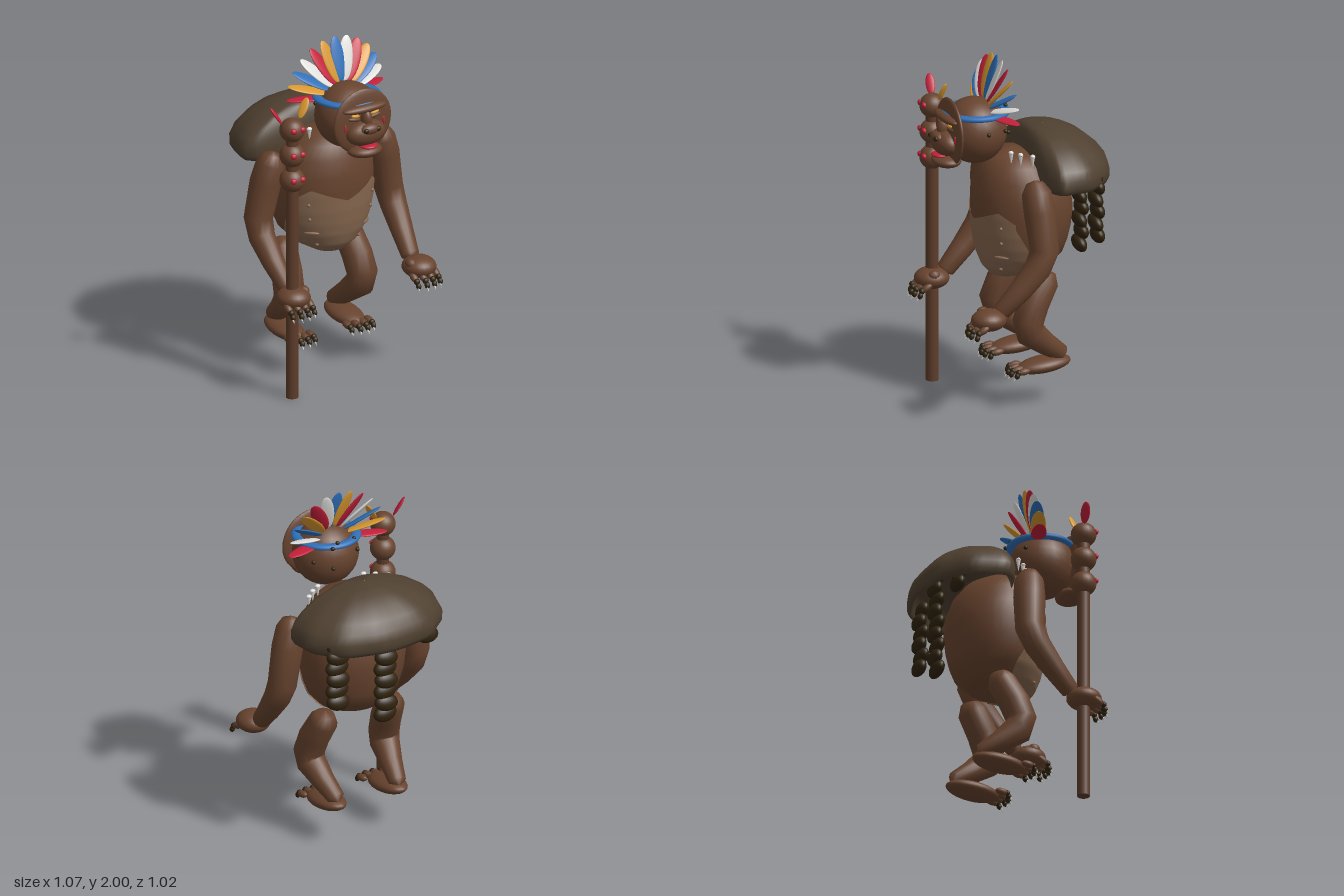
import * as THREE from 'three';

const mat = (name, color) => Object.assign(new THREE.MeshStandardMaterial({ color }), { name });
const { clamp, lerp } = THREE.MathUtils;

export function createModel() {
  const root = new THREE.Group();
  root.name = 'shamanApe';
  const ape = new THREE.Group();
  ape.name = 'ape';
  ape.position.x = 0.01;
  root.add(ape);
  const M = {
    fur: mat('brown fur', 0x67432e), belly: mat('light belly', 0x86674f), shell: mat('grey brown cape', 0x4f4030),
    dark: mat('dark claw', 0x30230e), wood: mat('staff wood', 0x5d3c2a), red: mat('red', 0xc41f3a),
    blue: mat('blue', 0x2f70b8), gold: mat('gold', 0xd9982f), white: mat('white', 0xe0dfdb),
  };
  M.belly.side = THREE.DoubleSide;

  const sphere = new THREE.SphereGeometry(1, 24, 16);
  const smallSphere = new THREE.SphereGeometry(1, 12, 8);
  const add = (name, geo, m, pos = [0, 0, 0], parent = ape) => {
    const mesh = new THREE.Mesh(geo, m);
    mesh.name = name;
    mesh.position.set(...pos);
    parent.add(mesh);
    return mesh;
  };
  const ball = (name, m, pos, scale, rot = [0, 0, 0], parent = ape) => {
    const mesh = add(name, Math.max(...scale) > 0.05 ? sphere : smallSphere, m, pos, parent);
    mesh.scale.set(...scale);
    mesh.rotation.set(...rot);
    return mesh;
  };

  // Skin a list of closed rings (counter-clockwise around the direction of travel)
  function loft(rings) {
    const n = rings[0].length, pos = [], idx = [];
    rings.forEach(r => r.forEach(p => pos.push(p.x, p.y, p.z)));
    for (let i = 0; i < rings.length - 1; i++) for (let j = 0; j < n; j++) {
      const a = i * n + j, b = i * n + (j + 1) % n;
      idx.push(a, b, b + n, a, b + n, a + n);
    }
    const g = new THREE.BufferGeometry();
    g.setAttribute('position', new THREE.Float32BufferAttribute(pos, 3));
    g.setIndex(idx);
    g.computeVertexNormals();
    return g;
  }

  // Limb through rows of [x, y, z, radius]
  function limb(rows, n = 16) {
    const pts = rows.map(r => new THREE.Vector3(r[0], r[1], r[2]));
    return loft(rows.map((r, i) => {
      const t = pts[Math.min(i + 1, pts.length - 1)].clone().sub(pts[Math.max(i - 1, 0)]).normalize();
      const u = new THREE.Vector3(1, 0, 0).cross(t).normalize();
      const v = t.clone().cross(u);
      return Array.from({ length: n }, (_, j) => {
        const a = j / n * Math.PI * 2;
        return pts[i].clone().addScaledVector(u, r[3] * Math.cos(a)).addScaledVector(v, r[3] * Math.sin(a));
      });
    }));
  }

  // Torso: rows of y, half width, front z, back z
  const torso = [
    [0.715, 0.002, 0.07, 0.066], [0.73, 0.09, 0.14, -0.05], [0.78, 0.185, 0.185, -0.19], [0.85, 0.25, 0.212, -0.265],
    [0.92, 0.28, 0.227, -0.29], [1.0, 0.3, 0.238, -0.308], [1.1, 0.31, 0.245, -0.32], [1.2, 0.303, 0.245, -0.31],
    [1.3, 0.278, 0.228, -0.275], [1.38, 0.22, 0.195, -0.21], [1.43, 0.14, 0.15, -0.12], [1.455, 0.002, 0.04, 0.036],
  ];
  function torsoPoint(y, a, off = 0) {
    let i = 0;
    while (i < torso.length - 2 && torso[i + 1][0] < y) i++;
    const k = (y - torso[i][0]) / (torso[i + 1][0] - torso[i][0]);
    const [hw, f, b] = [1, 2, 3].map(c => lerp(torso[i][c], torso[i + 1][c], k));
    return new THREE.Vector3((hw + off) * Math.sin(a), y, (f + b) / 2 + ((f - b) / 2 + off) * Math.cos(a));
  }
  add('torso', loft(torso.map(r => Array.from({ length: 40 }, (_, j) => torsoPoint(r[0], j / 40 * Math.PI * 2)))), M.fur);

  // Light belly patch with a heart-shaped upper edge, lying just over the torso
  const patch = new THREE.PlaneGeometry(1, 1, 40, 30);
  const pp = patch.attributes.position;
  for (let i = 0; i < pp.count; i++) {
    const s = pp.getX(i) * 2, t = pp.getY(i) + 0.5, a = Math.abs(s) * 1.05;
    const top = a < 0.7 ? 1.06 + 0.08 * a / 0.7 : 1.14 - 0.06 * (a - 0.7) / 0.35;
    const y = lerp(0.717, top, t);
    const spread = 1.05 + 0.55 * clamp((1.05 - y) / 0.25, 0, 1) + 0.8 * clamp((0.78 - y) / 0.06, 0, 1);
    const p = torsoPoint(y, s * spread, 0.006);
    pp.setXYZ(i, p.x, p.y - 0.004 * (1 - t), p.z);
  }
  patch.computeVertexNormals();
  add('bellyPatch', patch, M.belly);

  // Head and face
  ball('head', M.fur, [0, 1.58, 0.245], [0.19, 0.188, 0.182]);
  ball('faceDisc', M.fur, [0, 1.588, 0.392], [0.192, 0.19, 0.03]);
  ball('brow', M.fur, [0, 1.672, 0.415], [0.145, 0.026, 0.042]);
  ball('noseBridge', M.fur, [0, 1.61, 0.428], [0.032, 0.06, 0.042]);
  ball('muzzle', M.fur, [0, 1.53, 0.425], [0.125, 0.075, 0.07]);
  ball('nose', M.fur, [0, 1.565, 0.47], [0.062, 0.032, 0.035]);
  ball('lips', M.red, [0, 1.46, 0.45], [0.052, 0.014, 0.052]);
  ball('jaw', M.fur, [0, 1.422, 0.415], [0.105, 0.038, 0.082]);

  // Headband
  const band = new THREE.TorusGeometry(0.168, 0.03, 10, 48).rotateX(Math.PI / 2);
  add('headband', band, M.blue, [0, 1.688, 0.237]).scale.set(1, 0.55, 0.97);

  // Crown of feathers, leaning back and cupped towards the middle
  const cycle = [M.red, M.gold, M.blue, M.white];
  for (let i = 0; i < 13; i++) {
    const a = (i - 6) * Math.PI / 12, g = new THREE.Group();
    g.name = 'crownFeather';
    g.position.set(0, 1.68, 0.21);
    g.rotation.set(-0.31, -a, -a, 'ZXY');
    ball('feather', cycle[i % 4], [0, 0.208, 0], [0.043, 0.128, 0.01], [0, 0, 0], g);
    ape.add(g);
  }

  // Dark beads on the back of the head
  [[0.03, 1.71, 0.07], [0.07, 1.69, 0.055], [0.19, 1.6, 0.235], [0.155, 1.6, 0.12], [0.06, 1.56, 0.065],
    [-0.12, 1.62, 0.1], [-0.09, 1.7, 0.09]].forEach(p => ball('headBead', M.dark, p, [0.012, 0.012, 0.012]));

  // Hollow domed cape: inner surface first, round the rim, then the outer surface
  const cape = [[1.525, 0.01], [1.515, 0.3], [1.47, 0.6], [1.4, 0.82], [1.33, 0.9], [1.29, 0.92], [1.272, 0.955],
    [1.3, 0.995], [1.35, 1], [1.4, 0.945], [1.45, 0.835], [1.5, 0.67], [1.54, 0.46], [1.562, 0.25], [1.57, 0.01]];
  add('cape', loft(cape.map(([y, s]) => Array.from({ length: 56 }, (_, j) => {
    const a = j / 56 * Math.PI * 2, c = Math.cos(a), f = s < 0.1 ? s : Math.pow(s, 0.4);
    const wave = 1 + 0.012 * Math.sin(a * 11 + y * 9);
    return new THREE.Vector3(0.452 * s * wave * Math.sign(Math.sin(a)) * Math.abs(Math.sin(a)) ** 0.85, y,
      -0.165 + (c > 0 ? 0.135 * f * c ** 0.6 : 0.345 * s * wave * c));
  }))), M.shell);

  // Strands of dark beads hanging below the cape: x, z, top, count
  [[0.3, -0.36, 1.33, 6], [0, -0.385, 1.4, 9], [-0.28, -0.36, 1.32, 2]].forEach(([x, z, top, n]) => {
    for (let i = 0; i < n; i++)
      ball('strandBead', M.dark, [x, top - i * 0.07, z - 0.012 * (i % 2)], [0.073, 0.05, 0.036], [0.3, 0, i % 2 ? 0.12 : -0.12]);
  });

  const tooth = new THREE.ConeGeometry(0.014, 0.07, 8).rotateX(Math.PI);
  const claw = new THREE.ConeGeometry(0.009, 0.032, 8).rotateX(Math.PI);

  // Row of toes or fingers: brown knuckle, two dark joints, white tip
  function digits(name, x, y, z, drop) {
    for (let i = 0; i < 4; i++) {
      const dx = x + (i - 1.5) * 0.048, dz = z - (i === 0 || i === 3 ? 0.015 : 0);
      ball(name, M.fur, [dx, y, dz], [0.022, 0.02, 0.04], [drop, 0, 0]);
      ball(name + 'Joint', M.dark, [dx, y - 0.03 * drop, dz + 0.032], [0.018, 0.018, 0.016]);
      ball(name + 'Nail', M.dark, [dx + 0.004, y - 0.012 - 0.05 * drop, dz + 0.042], [0.015, 0.02, 0.015], [-0.4, 0, 0]);
      add(name + 'Tip', claw, M.white, [dx, y - 0.03 - 0.05 * drop, dz + 0.055]).rotation.x = -0.6;
    }
  }

  for (const s of [-1, 1]) {
    // Paired face details
    ball('eye', M.gold, [s * 0.064, 1.637, 0.42], [0.029, 0.011, 0.012], [0, 0, s * 0.15]);
    ball('eyelid', M.fur, [s * 0.066, 1.616, 0.414], [0.045, 0.014, 0.016], [0, 0, s * 0.15]);
    ball('nostril', M.dark, [s * 0.04, 1.566, 0.494], [0.016, 0.014, 0.012]);
    ball('cheekMark', M.red, [s * 0.128, 1.572, 0.414], [0.007, 0.024, 0.007]);

    // Belly studs
    [[1.05, 0.01], [0.96, 0.01], [0.87, 0.045], [0.79, 0.012]].forEach(([y, w]) => {
      const p = torsoPoint(y, s * 0.75, 0.006);
      ball('bellyStud', M.belly, [p.x, y, p.z], [w, 0.011, 0.012], [0, s * 0.75, 0]);
    });

    // Tooth necklace
    [[0.26, 0.0], [0.205, 0.05], [0.15, 0.085]].forEach(([x, z]) => {
      add('necklaceTooth', tooth, M.white, [s * x, 1.43, z]);
      ball('necklaceKnob', M.white, [s * x, 1.467, z], [0.017, 0.011, 0.014]);
    });

    // Arm and hand
    add('arm', limb([
      [s * 0.355, 1.36, 0.03, 0.002], [s * 0.36, 1.345, 0.028, 0.05], [s * 0.367, 1.29, 0.022, 0.083],
      [s * 0.395, 1.18, 0.012, 0.09], [s * 0.435, 0.97, 0.0, 0.083], [s * 0.44, 0.87, 0.045, 0.076],
      [s * 0.43, 0.75, 0.145, 0.064], [s * 0.415, 0.64, 0.25, 0.052], [s * 0.415, 0.62, 0.27, 0.002]]), M.fur);
    ball('hand', M.fur, [s * 0.42, 0.6, 0.33], [0.097, 0.062, 0.1]);
    ball('thumb', M.fur, [s * 0.357, 0.63, 0.34], [0.03, 0.03, 0.036]);
    digits('finger', s * 0.42, 0.567, 0.402, 0.6);

    // Leg and foot
    add('leg', limb([
      [s * 0.215, 0.78, -0.1, 0.002], [s * 0.215, 0.768, -0.098, 0.055], [s * 0.218, 0.72, -0.085, 0.083],
      [s * 0.235, 0.6, -0.015, 0.088], [s * 0.245, 0.5, 0.022, 0.088], [s * 0.24, 0.43, 0.005, 0.084],
      [s * 0.22, 0.35, -0.095, 0.064], [s * 0.2, 0.28, -0.192, 0.05], [s * 0.2, 0.255, -0.215, 0.002]]), M.fur);
    ball('foot', M.fur, [s * 0.2, 0.228, -0.09], [0.088, 0.046, 0.16], [0.1, 0, 0]);
    digits('toe', s * 0.195, 0.218, 0.07, 0.15);
  }

  // Staff with three stacked heads and two feathers
  const staff = new THREE.Group();
  staff.name = 'staff';
  staff.position.set(-0.415, 0, 0.325);
  root.add(staff);
  add('staffPole', new THREE.CylinderGeometry(0.036, 0.036, 1.56, 16), M.wood, [0, 0.78, 0], staff);
  for (const y of [1.305, 1.455, 1.605]) {
    ball('staffHead', M.fur, [0, y, 0], [0.072, 0.07, 0.072], [0, 0, 0], staff);
    for (const s of [-1, 1]) ball('staffEye', M.red, [s * 0.029, y + 0.015, 0.062], [0.019, 0.017, 0.014], [0, 0, 0], staff);
  }
  const featherSize = [0.026, 0.062, 0.009];
  ball('staffFeatherRed', M.red, [-0.09, 1.7, -0.025], featherSize, [-0.1, 1.1, 0.58, 'ZXY'], staff);
  ball('staffFeatherGold', M.gold, [0.092, 1.708, -0.025], featherSize, [-0.1, -1.1, -0.52, 'ZXY'], staff);

  return root;
}
